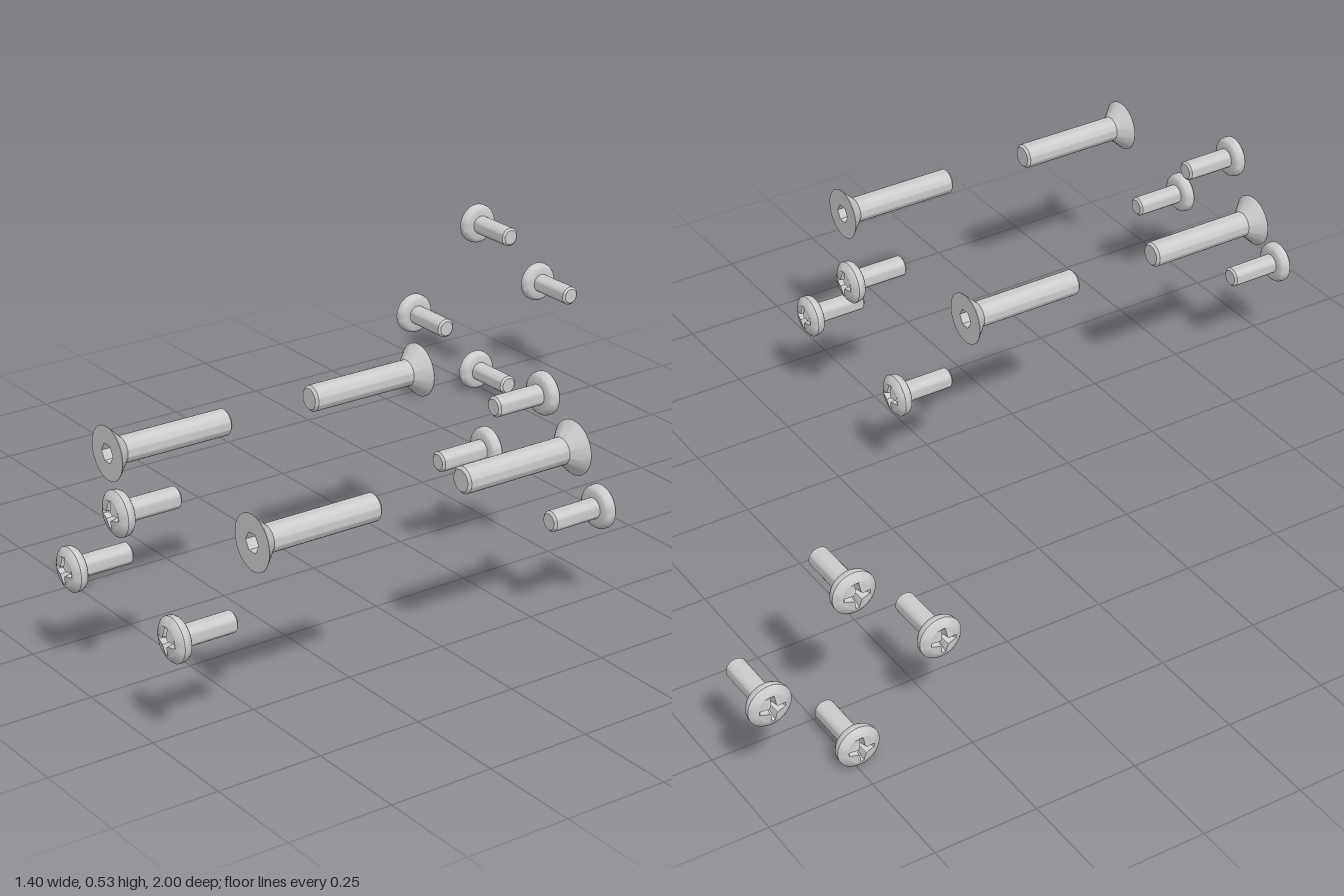
import * as THREE from 'three';
import { toCreasedNormals } from 'three/addons/utils/BufferGeometryUtils.js';

const SIDES = 32;
const material = new THREE.MeshStandardMaterial({ color: 0xcccccc });

function ring(radius, count) {
  return Array.from({ length: count }, (_, i) => {
    const a = (i / count) * Math.PI * 2;
    return new THREE.Vector2(Math.cos(a) * radius, Math.sin(a) * radius);
  });
}

function addMesh(group, name, geometry) {
  const mesh = new THREE.Mesh(toCreasedNormals(geometry, 0.6), material);
  mesh.name = name;
  group.add(mesh);
}

// Turned body along z; points are [radius, z] from the tip up to the head
function turned(points) {
  const profile = points.map(([r, z]) => new THREE.Vector2(r, z));
  return new THREE.LatheGeometry(profile, SIDES).rotateX(Math.PI / 2);
}

// Middle of the head face with a tapered drive recess, following the dome
function addDrive(group, radius, hole, depth, taper, dome) {
  const shape = new THREE.Shape(ring(radius, SIDES));
  shape.holes.push(new THREE.Path(hole));
  const face = new THREE.ExtrudeGeometry(shape, { depth, bevelEnabled: false });
  const p = face.attributes.position;
  for (let i = 0; i < p.count; i++) {
    const x = p.getX(i), y = p.getY(i);
    if (p.getZ(i) > depth / 2) p.setZ(i, dome(Math.hypot(x, y)));
    else p.setXYZ(i, x * taper, y * taper, -depth);
  }
  addMesh(group, 'headFace', face);
  addMesh(group, 'recessFloor', new THREE.ShapeGeometry(new THREE.Shape(hole))
    .scale(taper, taper, 1).translate(0, 0, -depth));
}

// Domed screw with a cross recess, head top at z = 0, shaft towards -z
function panScrew() {
  const screw = new THREE.Group();
  const dome = r => -0.03 * (1 - Math.sqrt(1 - (r / 0.056) ** 2));
  const inner = 0.034;
  addMesh(screw, 'shaft', turned([
    [0, -0.167], [0.019, -0.167], [0.0245, -0.162], [0.0245, -0.038]]));
  const head = [[0.0245, -0.041], [0.041, -0.041], [0.047, -0.037], [0.0505, -0.031], [0.0515, -0.025]];
  for (let i = 0; i <= 6; i++) {
    const r = THREE.MathUtils.lerp(0.0515, inner, i / 6);
    head.push([r, dome(r)]);
  }
  addMesh(screw, 'head', turned(head));

  // Four flared arms
  const cross = [];
  for (let i = 0; i < 4; i++) {
    for (const [x, y] of [[0.031, -0.0045], [0.031, 0.0045], [0.013, 0.0065], [0.0085, 0.0085], [0.0065, 0.013]]) {
      cross.push(new THREE.Vector2(x, y).rotateAround(new THREE.Vector2(), i * Math.PI / 2));
    }
  }
  addDrive(screw, inner, cross, 0.03, 0.5, dome);
  return screw;
}

// Flat countersunk screw with a hex socket
function countersunkScrew() {
  const screw = new THREE.Group();
  addMesh(screw, 'shaft', turned([
    [0, -0.305], [0.025, -0.305], [0.031, -0.299], [0.031, -0.033]]));
  addMesh(screw, 'head', turned([[0.031, -0.034], [0.0635, -0.001], [0.0635, 0]]));
  addDrive(screw, 0.0635, ring(0.0235, 6), 0.028, 1, () => 0);
  // The socket sits inside the cone, so trim the plate's rear edge to its slope
  const p = screw.getObjectByName('headFace').geometry.attributes.position;
  for (let i = 0; i < p.count; i++) {
    const r = Math.hypot(p.getX(i), p.getY(i));
    if (p.getZ(i) < -0.01 && r > 0.05) {
      p.setX(i, p.getX(i) * 0.5);
      p.setY(i, p.getY(i) * 0.5);
    }
  }
  return screw;
}

export function createModel() {
  const model = new THREE.Group();
  const place = (name, screw, x, y, z, turn) => {
    screw.name = name;
    screw.position.set(x, y, z);
    screw.rotation.y = turn;
    model.add(screw);
  };
  const low = 0.0515, mid = 0.2575, high = 0.4635;

  // Front and back sets face away from each other
  for (const [side, panZ, sinkZ, turn] of [['front', 1, 0.833, 0], ['back', -0.166, 0.001, Math.PI]]) {
    for (const [x, y] of [[0.148, mid], [0.354, high], [0.559, mid]]) {
      place(side + 'PanScrew', panScrew(), x, y, panZ, turn);
    }
    for (const x of [0.0715, 0.6365]) {
      place(side + 'CountersunkScrew', countersunkScrew(), x, high, sinkZ, turn);
    }
  }

  // Diamond of four screws with heads facing -x
  for (const [y, z] of [[mid, -0.5365], [mid, -0.9485], [low, -0.7425], [high, -0.7425]]) {
    place('sidePanScrew', panScrew(), -0.7, y, z, -Math.PI / 2);
  }
  return model;
}
